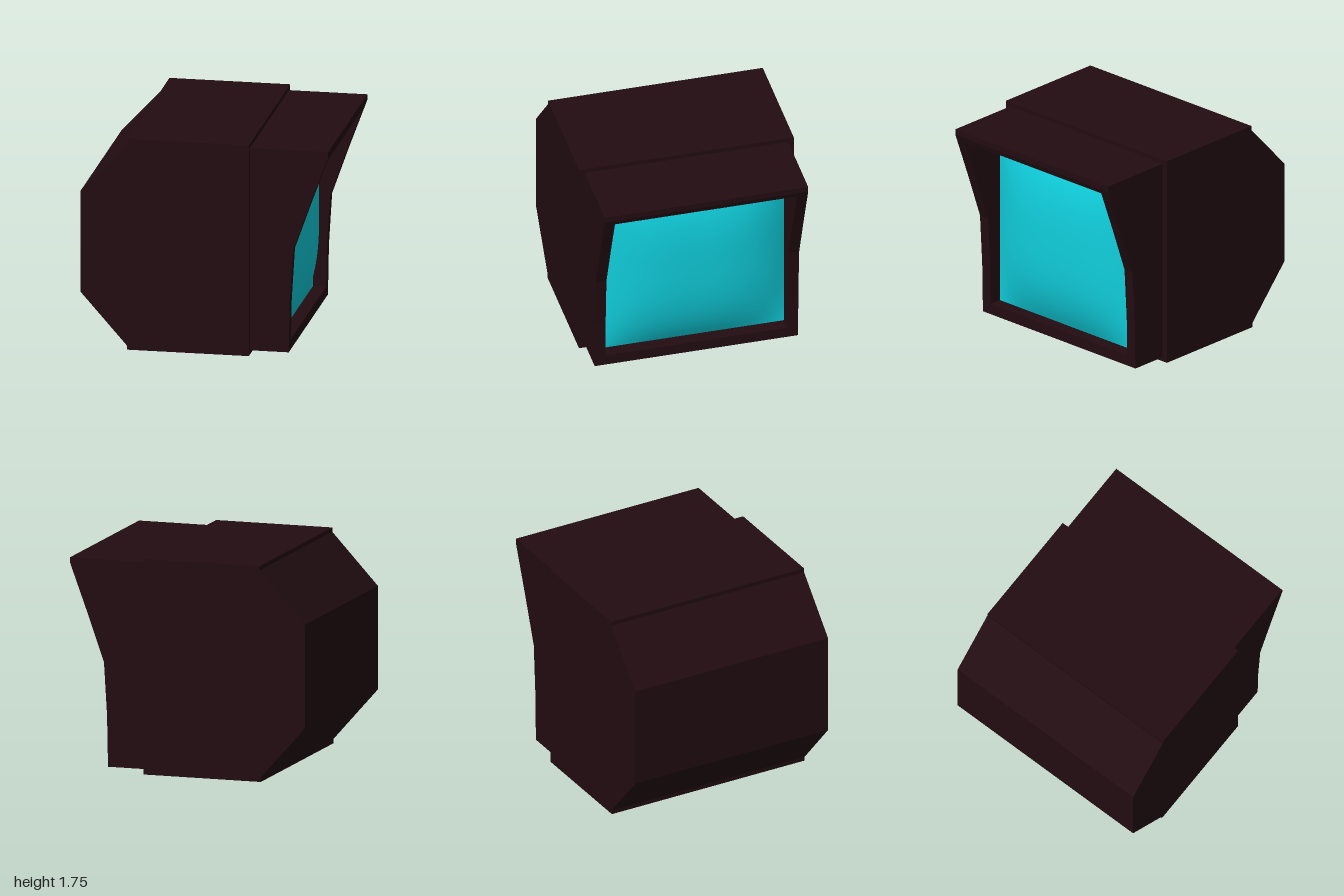
import * as THREE from 'three';

const shellMaterial = new THREE.MeshStandardMaterial({ color: 0x220c11 });
const screenMaterial = new THREE.MeshStandardMaterial({ color: 0x10d0de });

// Extrudes a side profile (x, y) across z from z0 to z1
function slab(name, points, z0, z1) {
  const shape = new THREE.Shape(points.map(([x, y]) => new THREE.Vector2(x, y)));
  const geometry = new THREE.ExtrudeGeometry(shape, { depth: z1 - z0, bevelEnabled: false });
  geometry.translate(0, 0, z0);
  const mesh = new THREE.Mesh(geometry, shellMaterial);
  mesh.name = name;
  return mesh;
}

export function createModel() {
  const model = new THREE.Group();
  model.name = 'monitor';

  // Housing with a chamfered back and a small step at each chamfer
  model.add(slab('housing', [
    [-1, 0.46], [-0.625, 0.035], [-0.625, 0], [0.365, 0],
    [0.365, 1.75], [-0.615, 1.75], [-0.615, 1.715], [-1, 1.3],
  ], -0.885, 0.885));

  // Bezel around the screen, its front edge sweeping forward into a visor
  const bezel = new THREE.Group();
  bezel.name = 'bezel';
  const back = 0.35, inner = 0.75, outer = 0.838;
  const sideProfile = [
    [back, 0.035], [0.68, 0.035], [0.688, 0.45], [0.714, 0.88],
    [0.85, 1.265], [1, 1.67], [1, 1.715], [back, 1.715],
  ];
  bezel.add(slab('bezelLeftSide', sideProfile, inner, outer));
  bezel.add(slab('bezelRightSide', sideProfile, -outer, -inner));
  bezel.add(slab('bezelTop', [
    [back, 1.625], [0.983, 1.625], [1, 1.67], [1, 1.715], [back, 1.715],
  ], -inner, inner));
  bezel.add(slab('bezelBottom', [
    [back, 0.035], [0.68, 0.035], [0.682, 0.125], [back, 0.125],
  ], -inner, inner));
  model.add(bezel);

  // Gently domed screen set back inside the bezel
  const dome = new THREE.PlaneGeometry(1.5, 1.5, 24, 24);
  const p = dome.attributes.position;
  for (let i = 0; i < p.count; i++) {
    const u = Math.abs(p.getX(i) / 0.75), v = Math.abs(p.getY(i) / 0.75);
    p.setZ(i, 0.137 * (1 - u ** 3) * (1 - v ** 3));
  }
  dome.computeVertexNormals();
  dome.rotateY(Math.PI / 2);
  const screen = new THREE.Mesh(dome, screenMaterial);
  screen.name = 'screen';
  screen.position.set(0.575, 0.875, 0);
  model.add(screen);

  return model;
}
